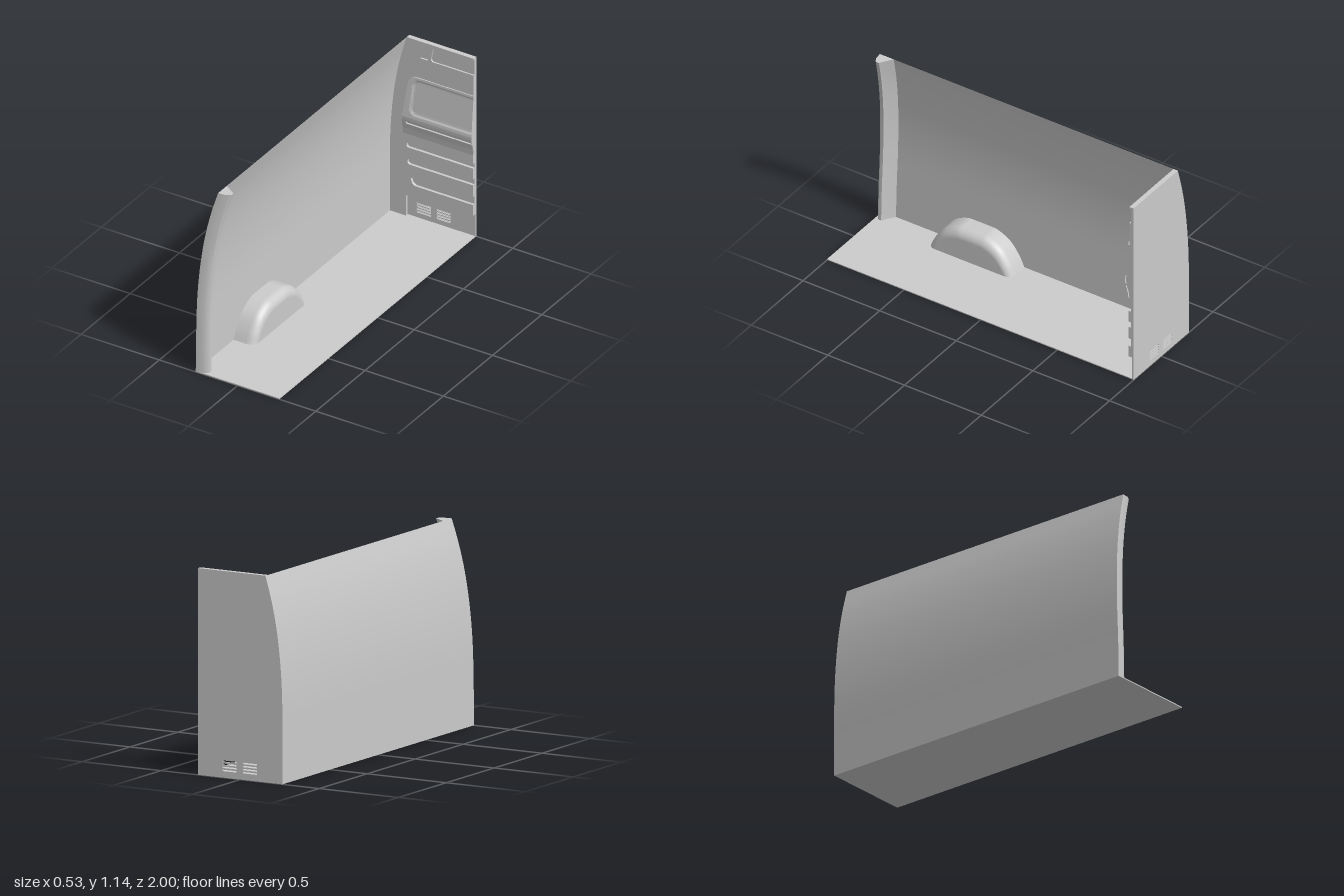
import * as THREE from 'three';
import { toCreasedNormals } from 'three/addons/utils/BufferGeometryUtils.js';

const H = 1.138, R = 0.267;
const material = new THREE.MeshStandardMaterial({ color: 0xcccccc, side: THREE.DoubleSide });

// Side wall bulge, given as x and y from floor to roof
const wallCurve = new THREE.SplineCurve([
  [-0.267, 0], [-0.267, 0.2], [-0.267, 0.4], [-0.262, 0.55], [-0.25, 0.7],
  [-0.23, 0.85], [-0.199, 1.0], [-0.16, H]
].map(p => new THREE.Vector2(...p)));
const wallPoints = wallCurve.getPoints(42);
const frontZ = y => 1 - 0.057 * Math.pow(Math.max(y, 0) / H, 1.6);
const wallX = y => {
  const i = Math.max(1, wallPoints.findIndex(p => p.y >= y - 1e-6));
  const a = wallPoints[i - 1], b = wallPoints[i];
  return a.x + (b.x - a.x) * (y - a.y) / (b.y - a.y);
};

// Surface through rows of [x, y, z] points
function gridSurface(rows) {
  const n = rows[0].length, index = [];
  for (let i = 0; i < rows.length - 1; i++) {
    for (let j = 0; j < n - 1; j++) {
      const a = i * n + j, b = a + n;
      index.push(a, a + 1, b, b, a + 1, b + 1);
    }
  }
  const g = new THREE.BufferGeometry();
  g.setAttribute('position', new THREE.Float32BufferAttribute(rows.flat(2), 3));
  g.setIndex(index);
  g.computeVertexNormals();
  return g;
}

// Flat plate between two depths
function plate(points, z0, z1, holes = []) {
  const vec = list => list.map(p => new THREE.Vector2(...p));
  const shape = new THREE.Shape(vec(points));
  shape.holes = holes.map(h => new THREE.Path(vec(h)));
  const g = new THREE.ExtrudeGeometry(shape, { depth: z1 - z0, bevelEnabled: false });
  return g.translate(0, 0, z0);
}

// Notches cut in from the right edge: [bottom, top, x at bottom, x at top]
const notchPath = list => list.flatMap(([y0, y1, xa, xb]) => {
  const r = Math.min(0.012, (y1 - y0) / 4), dx = (xb - xa) * r / (y1 - y0);
  return [[R, y0], [xa + r, y0], [xa + dx, y0 + r], [xb - dx, y1 - r], [xb + r, y1], [R, y1]];
});

const smooth = THREE.MathUtils.smoothstep;

export function createModel() {
  const model = new THREE.Group();
  const add = (name, geometry, parent = model) => {
    const mesh = new THREE.Mesh(geometry, material);
    mesh.name = name;
    parent.add(mesh);
    return mesh;
  };

  // Floor
  add('floor', new THREE.BoxGeometry(2 * R, 0.006, 2)).position.y = 0.003;

  // Curved side wall
  add('sideWall', gridSurface(wallPoints.map(p => [
    [p.x, p.y, frontZ(p.y) - 0.09], [p.x, p.y, -1]
  ])));

  // Front pillar: one cross-section swept up the wall
  const section = [[0, 0], [0.04, -0.003], [0.066, -0.016], [0.073, -0.026],
    [0.073, -0.042], [0.055, -0.052], [0, -0.09], [0, 0]];
  const pillar = new THREE.Group();
  pillar.name = 'frontPillar';
  model.add(pillar);
  const pillarRows = wallPoints.map(p => section.map(([dx, dz]) => [p.x + dx, p.y, frontZ(p.y) + dz]));
  add('pillarShell', toCreasedNormals(gridSurface(pillarRows), 0.5), pillar);
  for (const [name, row] of [['pillarFoot', pillarRows[0]], ['pillarTop', pillarRows.at(-1)]]) {
    const cap = new THREE.ShapeGeometry(new THREE.Shape(row.map(p => new THREE.Vector2(p[0], -p[2]))));
    cap.rotateX(-Math.PI / 2).translate(0, row[0][1], 0);
    add(name, cap, pillar);
  }

  // Wheel arch: outline with a rounded inner edge and a flat inner face
  const archLine = new THREE.CatmullRomCurve3([
    [0.07, 0], [0.105, 0.07], [0.165, 0.145], [0.25, 0.187], [0.3, 0.19], [0.39, 0.19],
    [0.44, 0.187], [0.525, 0.145], [0.585, 0.07], [0.62, 0]
  ].map(([z, y]) => new THREE.Vector3(0, y, z))).getPoints(48);
  const archRow = (x, k, ky) => archLine.map(p => [x, p.y * ky, 0.345 + (p.z - 0.345) * k]);
  const archRows = [archRow(-0.267, 1, 1)];
  for (let i = 0; i <= 10; i++) {
    const a = i / 10 * Math.PI / 2, c = 1 - Math.cos(a);
    archRows.push(archRow(-0.19 + 0.055 * Math.sin(a), 1 - 0.16 * c, 1 - 0.29 * c));
  }
  archRows.push(archRow(-0.135, 0.84, 0));
  add('wheelArch', gridSurface(archRows));

  // Rear door
  const door = new THREE.Group();
  door.name = 'rearDoor';
  model.add(door);
  const wallDown = wallPoints.map(p => [p.x, p.y]).reverse();

  // Outer skin with two banks of vent slots
  const ventStarts = [-0.105, 0.022], ventRows = [0.04, 0.057, 0.074, 0.091];
  const slots = ventStarts.flatMap(x => ventRows.map(y =>
    [[x, y - 0.004], [x, y + 0.004], [x + 0.088, y + 0.004], [x + 0.088, y - 0.004]]));
  add('doorSkin', plate([[-R, 0], [R, 0], [R, H], ...wallDown.slice(0, -1)], -1, -0.99, slots), door);
  for (const x of ventStarts) for (const y of ventRows) {
    add('ventLouvre', new THREE.BoxGeometry(0.092, 0.002, 0.005), door).position.set(x + 0.044, y + 0.006, -0.988);
  }

  // Inner lining, open around the vents at the bottom
  const start = [[-R, 0], [-0.165, 0], [-0.165, 0.13], [-0.15, 0.145], [R, 0.145]];
  const end = [[R, H], ...wallDown.slice(0, -1)];
  add('doorCore', plate([...start, ...end], -0.99, -0.982), door);
  const grooves = [[0.215, 0.265, -0.117, -0.135], [0.34, 0.375, -0.15, -0.15], [0.446, 0.475, -0.157, -0.157]];
  const upperPocket = [1.032, 1.125, -0.008, 0.01];
  const triangle = [[-0.075, 1.032], [-0.015, 1.1], [-0.025, 1.032]];
  const bulgeGap = [[R, 0.53], [-0.17, 0.53], [-0.165, 0.65], [-0.13, 0.88], [-0.1, 0.9], [R, 0.9]];
  add('doorLining', plate([...start, ...notchPath(grooves), ...bulgeGap, ...notchPath([upperPocket]), ...end],
    -0.982, -0.972, [triangle]), door);

  // Lower raised panel with three grooves
  add('lowerPanel', plate([[-0.16, 0.145], [R, 0.145], ...notchPath(grooves), [R, 0.535],
    [-0.18, 0.535], [-0.188, 0.4], [-0.185, 0.3], [-0.172, 0.2]], -0.972, -0.966), door);

  // Upper panel: a ledge that leans back, with a window recess and a thin groove
  const profile = [[0.53, -0.966], [0.57, -0.961], [0.6, -0.951], [0.63, -0.945], [0.65, -0.943],
    [0.67, -0.945], [0.905, -0.966]];
  const depth = y => {
    const i = Math.max(1, profile.findIndex(p => p[0] >= y - 1e-6));
    const [a, b] = [profile[i - 1], profile[i]];
    return a[1] + (b[1] - a[1]) * (y - a[0]) / (b[0] - a[0]);
  };
  // Signed distance inside a round-cornered band running off the right edge
  const inside = (x, y, left, y0, y1, r) => {
    const qx = left + r - x, qy = Math.abs(y - (y0 + y1) / 2) - (y1 - y0) / 2 + r;
    return r - Math.hypot(Math.max(qx, 0), Math.max(qy, 0)) - Math.min(Math.max(qx, qy), 0);
  };
  const rows = [];
  const NY = 125, NX = 70;
  for (let i = 0; i <= NY; i++) {
    const y = 0.53 + 0.375 * i / NY;
    const corner = Math.max(0, y - 0.865) / 0.04;
    const left = wallX(y) + 0.083 + 0.04 * (1 - Math.sqrt(Math.max(0, 1 - corner * corner)));
    const row = [[left, y, -0.983]];
    for (let j = 0; j <= NX; j++) {
      const x = left + (R - left) * Math.pow(j / NX, 1.5);
      const windowIn = inside(x, y, -0.132 + 0.08 * (y - 0.67), 0.668, 0.892, 0.045);
      const grooveIn = inside(x, y, -0.152, 0.605, 0.622, 0.006);
      row.push([x, y, depth(y) - 0.007 * smooth(windowIn, 0, 0.014) - 0.008 * smooth(grooveIn, 0, 0.003)]);
    }
    rows.push(row);
  }
  rows.push(rows.at(-1).map(([x, y]) => [x, y, -0.983]));
  add('upperPanel', toCreasedNormals(gridSurface(rows), 0.7), door);

  // Closing face of the upper panel at the door's edge
  add('upperPanelEdge', plate([[0.53, -0.983], ...profile.map(([y, z]) => [y, z - 0.007]), [0.905, -0.983]],
    0, 0.002).applyMatrix4(new THREE.Matrix4().set(0, 0, 1, R - 0.002, 1, 0, 0, 0, 0, 1, 0, 0, 0, 0, 0, 1)), door);

  return model;
}
